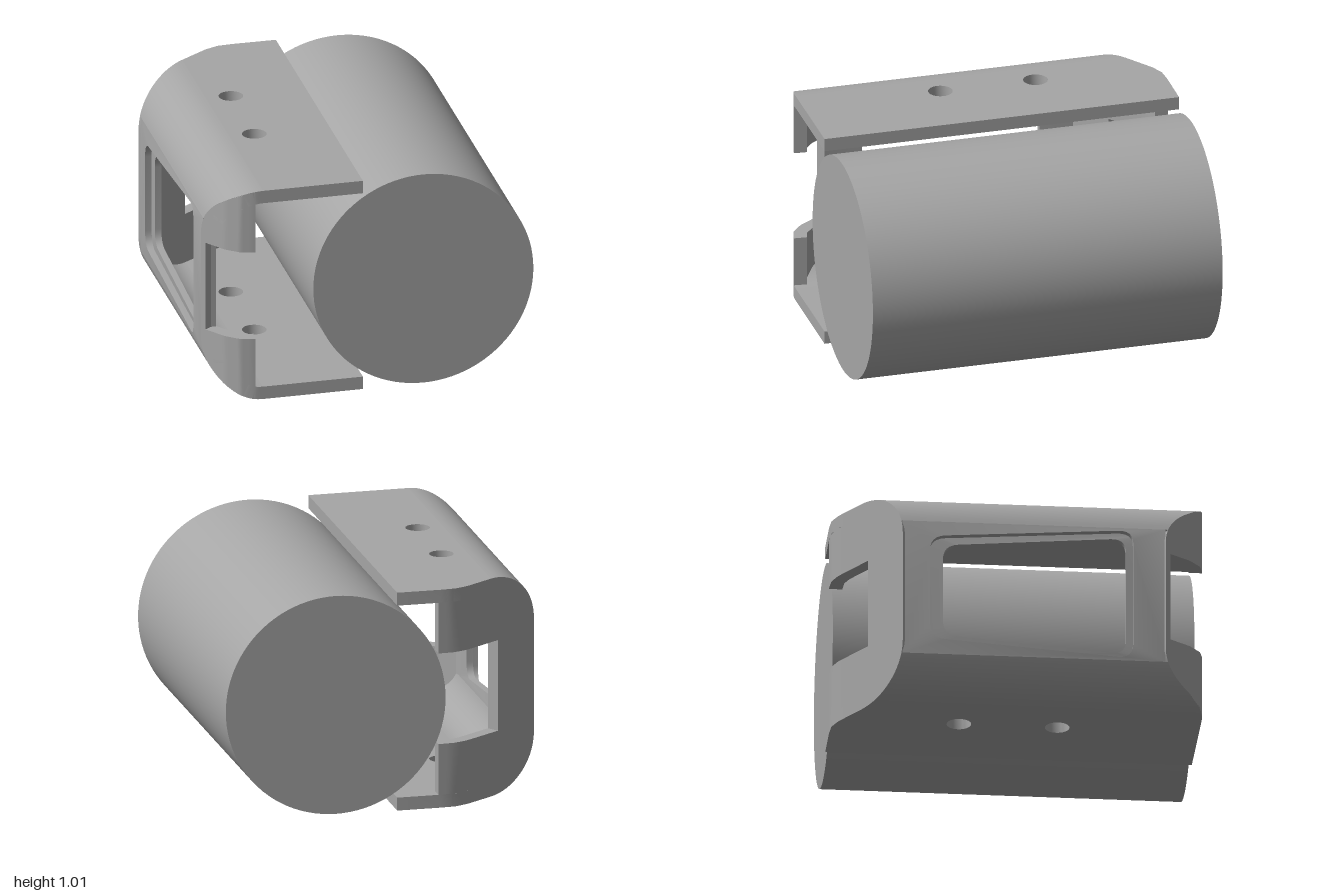
import * as THREE from 'three';
import { toCreasedNormals } from 'three/addons/utils/BufferGeometryUtils.js';

const H = 1.01, T = 0.06, R = 0.24;      // height, wall thickness, outer fillet radius
const LEFT = -0.8, FLAT = LEFT + R, EDGE = -0.1;

// Plan outline of the two ends of the bracket, as [across, along]
const BACK = [[-0.8, -0.532], [-0.6, -0.671], [-0.43, -0.789], [-0.37, -0.815], [-0.3, -0.82], [EDGE, -0.82]];
const FRONT = [[-0.8, 0.645], [-0.72, 0.76], [-0.66, 0.81], [-0.6, 0.825], [EDGE, 0.82]];

// Position along the bracket of an end outline at a given x
function endAt(line, x) {
  for (let i = 1; i < line.length; i++) {
    const [x0, z0] = line[i - 1], [x1, z1] = line[i];
    if (x <= x1) return z0 + (z1 - z0) * (x - x0) / (x1 - x0);
  }
  return line[line.length - 1][1];
}

// Height of the rounded outer top surface at x
function topAt(x) {
  const d = Math.min(0, x - FLAT);
  return H - R + Math.sqrt(Math.max(0, R * R - d * d));
}

// Solid through a row of four-cornered sections
function loft(sections) {
  const pos = [];
  const quad = (a, b, c, d) => pos.push(...a, ...b, ...c, ...a, ...c, ...d);
  for (let i = 1; i < sections.length; i++) {
    const p = sections[i - 1], q = sections[i];
    for (let k = 0; k < 4; k++) quad(p[k], p[(k + 1) % 4], q[(k + 1) % 4], q[k]);
  }
  const s = sections[0], e = sections[sections.length - 1];
  quad(s[3], s[2], s[1], s[0]);
  quad(e[0], e[1], e[2], e[3]);
  // Turn faces outwards when the volume is negative
  let volume = 0;
  const v = [new THREE.Vector3(), new THREE.Vector3(), new THREE.Vector3()];
  for (let i = 0; i < pos.length; i += 9) {
    v.forEach((w, k) => w.fromArray(pos, i + 3 * k));
    volume += v[0].dot(v[1].cross(v[2]));
  }
  if (volume < 0) {
    for (let i = 0; i < pos.length; i += 9) {
      for (let k = 0; k < 3; k++) [pos[i + 3 + k], pos[i + 6 + k]] = [pos[i + 6 + k], pos[i + 3 + k]];
    }
  }
  const g = new THREE.BufferGeometry();
  g.setAttribute('position', new THREE.Float32BufferAttribute(pos, 3));
  return toCreasedNormals(g, 0.5);
}

// Closed path with rounded corners
function rounded(path, pts, r) {
  const P = pts.map(p => new THREE.Vector2(...p));
  P.forEach((p, i) => {
    const toward = q => p.clone().add(q.clone().sub(p).setLength(r));
    const a = toward(P[(i + P.length - 1) % P.length]), b = toward(P[(i + 1) % P.length]);
    if (i === 0) path.moveTo(a.x, a.y); else path.lineTo(a.x, a.y);
    path.quadraticCurveTo(p.x, p.y, b.x, b.y);
  });
  path.closePath();
  return path;
}

// Flat plate with two screw holes
function plateGeometry() {
  const shape = new THREE.Shape();
  const xs = line => [FLAT, ...line.map(p => p[0]).filter(x => x > FLAT)];
  xs(FRONT).forEach((x, i) => shape[i ? 'lineTo' : 'moveTo'](x, -endAt(FRONT, x)));
  xs(BACK).reverse().forEach(x => shape.lineTo(x, -endAt(BACK, x)));
  shape.closePath();
  for (const z of [-0.251, 0.189]) {
    const hole = new THREE.Path();
    hole.absarc(-0.445, -z, 0.055, 0, Math.PI * 2, true);
    shape.holes.push(hole);
  }
  const g = new THREE.ExtrudeGeometry(shape, { depth: T, bevelEnabled: false, curveSegments: 16 });
  return toCreasedNormals(g.rotateX(-Math.PI / 2), 0.5);
}

// One layer of the side wall, with a tapered window shrunk by inset
function sideLayer(x, depth, inset) {
  const y0 = 0.18, y1 = H - 0.18, c = H / 2;
  const shape = new THREE.Shape();
  shape.moveTo(-0.532, y0);
  shape.lineTo(0.645, y0);
  shape.lineTo(0.645, y1);
  shape.lineTo(-0.532, y1);
  shape.closePath();
  const za = -0.41 + inset * 2, zb = 0.5 - inset, ha = 0.25 - inset, hb = 0.315 - inset;
  shape.holes.push(rounded(new THREE.Path(), [[za, c - ha], [za, c + ha], [zb, c + hb], [zb, c - hb]], 0.07));
  const g = new THREE.ExtrudeGeometry(shape, { depth, bevelEnabled: false, curveSegments: 6 });
  g.rotateY(-Math.PI / 2).translate(x + depth, 0, 0);
  // Bend the upper and lower margins into the fillets
  const p = g.attributes.position;
  for (let i = 0; i < p.count; i++) {
    const d = Math.max(0, Math.abs(p.getY(i) - c) - (c - R));
    p.setX(i, p.getX(i) + R - Math.sqrt(R * R - d * d));
  }
  return toCreasedNormals(g, 0.5);
}

export function createModel() {
  const group = new THREE.Group();
  const body = new THREE.Group();
  body.name = 'cylinderAndBracket';
  body.rotation.y = 0.3766;
  group.add(body);

  const grey = new THREE.MeshStandardMaterial({ color: 0xa6a6a6 });
  grey.name = 'grey';
  const add = (name, geometry) => {
    const m = new THREE.Mesh(geometry, grey);
    m.name = name;
    body.add(m);
    return m;
  };

  // Solid cylinder lying on its side
  const drum = add('cylinder', new THREE.CylinderGeometry(0.505, 0.505, 1.618, 96));
  drum.rotation.x = Math.PI / 2;
  drum.position.set(0.179, 0.505, 0.004);

  // Side wall with a stepped window
  add('sideWallOuter', sideLayer(LEFT, T / 2, 0));
  add('sideWallInner', sideLayer(LEFT + T / 2, T / 2, 0.03));

  // Curtain along an end outline between two heights
  const curtain = (line, xEnd, low, high, flip) => {
    const inward = line === BACK ? 1 : -1, n = 28, sections = [];
    for (let i = 0; i <= n; i++) {
      const x = LEFT + (xEnd - LEFT) * (i / n) ** 2;
      const z = endAt(line, x), e = 0.015;
      const xa = Math.max(LEFT, x - e);
      const slope = (endAt(line, x + e) - endAt(line, xa)) / (x + e - xa);
      const len = Math.hypot(1, slope);
      const xi = x - inward * slope * T / len, zi = z + inward * T / len;
      const y = v => flip ? H - v : v;
      const a = y(low), b = y(high(x));
      sections.push([[x, a, z], [x, b, z], [xi, b, zi], [xi, a, zi]]);
    }
    return loft(sections);
  };

  for (const flip of [false, true]) {
    const side = flip ? 'bottom' : 'top';
    add(side + 'Plate', plateGeometry()).position.y = flip ? 0 : H - T;

    // Rounded edge joining the plate to the side wall
    const start = Math.asin((R - 0.18) / R), sections = [];
    for (let i = 0; i <= 14; i++) {
      const a = start + (Math.PI / 2 - start) * i / 14;
      const at = (r, line) => {
        const x = FLAT - r * Math.cos(a), y = H - R + r * Math.sin(a);
        return [x, flip ? H - y : y, endAt(line, x)];
      };
      sections.push([at(R, BACK), at(R, FRONT), at(R - T, FRONT), at(R - T, BACK)]);
    }
    add(side + 'RoundedEdge', loft(sections));

    // Arms of the end walls above and below the cutouts
    const top = x => topAt(x) - 0.002;
    add(side + 'BackArm', curtain(BACK, -0.29, 0.715, x => Math.max(0.72, top(x)), flip));
    add(side + 'FrontArm', curtain(FRONT, -0.594, 0.715, x => Math.max(0.72, top(x)), flip));
  }

  // Uprights closing the cutouts towards the side wall
  add('backUpright', curtain(BACK, -0.6, 0.295, () => 0.715, false));
  add('frontUpright', curtain(FRONT, -0.785, 0.295, () => 0.715, false));

  return group;
}
